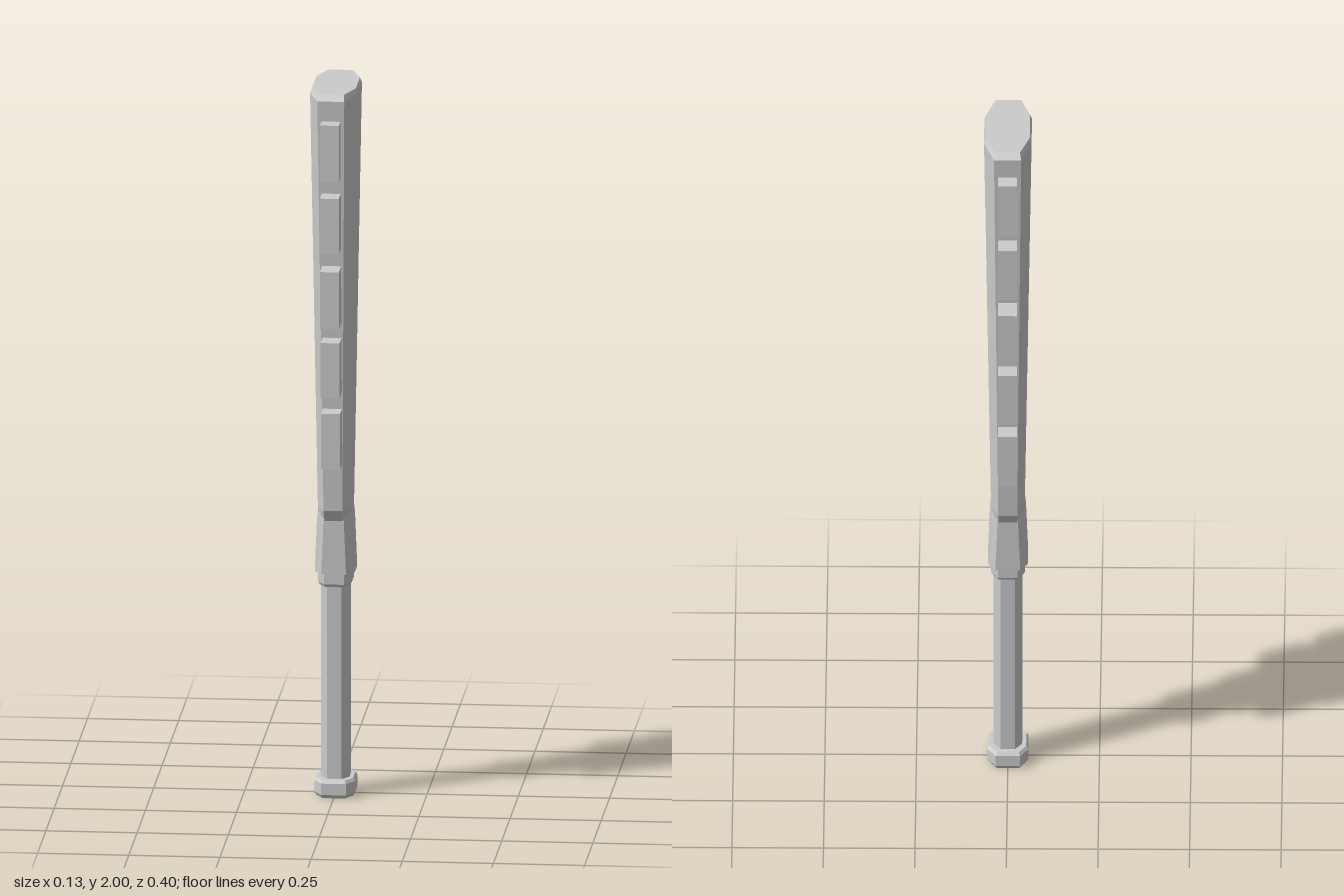
import * as THREE from 'three';

const material = new THREE.MeshStandardMaterial({ color: 0xcccccc, flatShading: true });

// Lofts eight-sided sections [y, halfX, halfZ, flatX, flatZ] from bottom to top, capped at both ends.
function loft(name, sections) {
  const rings = sections.map(([y, x, z, fx, fz]) => [
    [fx, z], [x, fz], [x, -fz], [fx, -z], [-fx, -z], [-x, -fz], [-x, fz], [-fx, z],
  ].map(([px, pz]) => [px, y, pz]));
  const pos = [];
  const tri = (a, b, c) => pos.push(...a, ...b, ...c);
  for (let r = 0; r < rings.length - 1; r++) {
    for (let i = 0; i < 8; i++) {
      const j = (i + 1) % 8;
      const [a, b, c, d] = [rings[r][i], rings[r][j], rings[r + 1][j], rings[r + 1][i]];
      tri(a, b, c);
      tri(a, c, d);
    }
  }
  const bottom = rings[0];
  const top = rings[rings.length - 1];
  for (let i = 1; i < 7; i++) {
    tri(bottom[0], bottom[i + 1], bottom[i]);
    tri(top[0], top[i], top[i + 1]);
  }
  const geometry = new THREE.BufferGeometry();
  geometry.setAttribute('position', new THREE.Float32BufferAttribute(pos, 3));
  geometry.computeVertexNormals();
  const mesh = new THREE.Mesh(geometry, material);
  mesh.name = name;
  return mesh;
}

export function createModel() {
  const model = new THREE.Group();
  model.name = 'toothedClub';

  model.add(
    loft('pommel', [
      [0, 0.05, 0.07, 0.03, 0.035],
      [0.01, 0.056, 0.076, 0.034, 0.038],
      [0.042, 0.056, 0.076, 0.034, 0.038],
      [0.05, 0.05, 0.07, 0.03, 0.035],
    ]),
    loft('handle', [
      [0.04, 0.039, 0.051, 0.02, 0.024],
      [0.6, 0.039, 0.051, 0.02, 0.024],
    ]),
    loft('gripRing', [
      [0.592, 0.042, 0.058, 0.025, 0.028],
      [0.6, 0.046, 0.062, 0.027, 0.03],
      [0.635, 0.046, 0.062, 0.027, 0.03],
    ]),
    loft('collar', [
      [0.63, 0.055, 0.072, 0.034, 0.036],
      [0.78, 0.049, 0.071, 0.028, 0.036],
      [0.82, 0.045, 0.07, 0.025, 0.035],
    ]),
    // Flat blade widening towards the bevelled tip
    loft('blade', [
      [0.78, 0.043, 0.07, 0.025, 0.034],
      [0.815, 0.046, 0.091, 0.026, 0.041],
      [1.985, 0.065, 0.157, 0.037, 0.067],
      [2, 0.06, 0.14, 0.034, 0.061],
    ]),
  );

  // Blocks set into both narrow edges: [bottom, top, reach in front, reach behind]
  const teeth = new THREE.Group();
  teeth.name = 'teeth';
  const rows = [
    [0.95, 1.107, 0.165, 0.16],
    [1.155, 1.31, 0.18, 0.176],
    [1.355, 1.515, 0.2, 0.2],
    [1.567, 1.722, 0.2, 0.2],
    [1.77, 1.928, 0.2, 0.2],
  ];
  for (const [low, high, front, back] of rows) {
    for (const [side, reach] of [[1, front], [-1, back]]) {
      const inner = 0.06;
      const tooth = new THREE.Mesh(new THREE.BoxGeometry(0.052, high - low, reach - inner), material);
      tooth.position.set(0, (low + high) / 2, side * (reach + inner) / 2);
      tooth.name = side > 0 ? 'frontTooth' : 'backTooth';
      teeth.add(tooth);
    }
  }
  model.add(teeth);
  return model;
}
